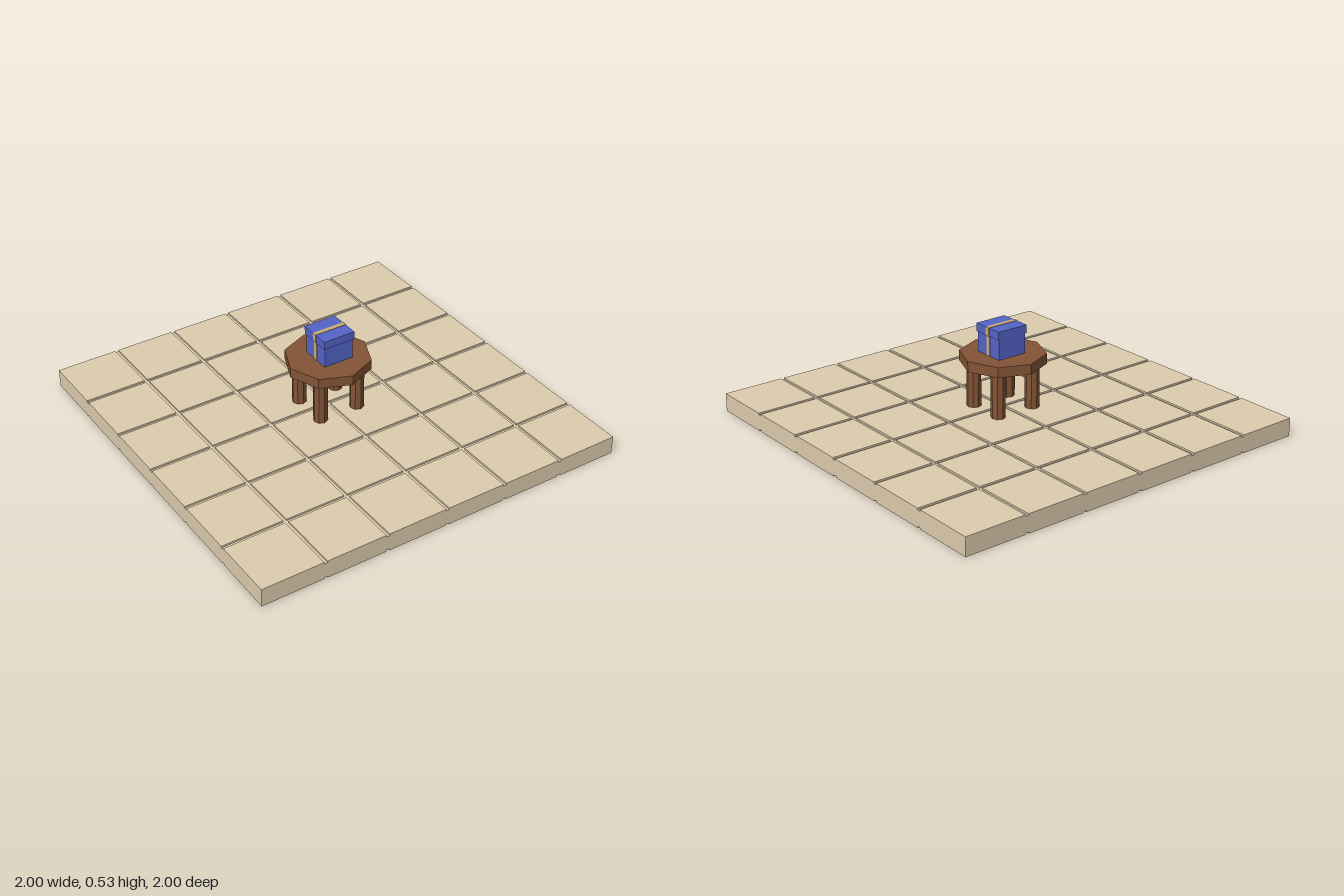
import * as THREE from 'three';

const material = (color) => new THREE.MeshStandardMaterial({ color, flatShading: true });

export function createModel() {
  const root = new THREE.Group();
  const stone = material(0xdccbad);
  const wood = material(0x835436);
  const blue = material(0x5464c8);
  const gold = material(0xc9ab78);

  const group = (name) => {
    const g = new THREE.Group();
    g.name = name;
    root.add(g);
    return g;
  };
  const add = (parent, name, geometry, mat, x, y, z) => {
    const mesh = new THREE.Mesh(geometry, mat);
    mesh.name = name;
    mesh.position.set(x, y, z);
    parent.add(mesh);
  };
  // Box standing on height y0 and reaching y1
  const block = (parent, name, mat, w, d, y0, y1, x = 0, z = 0) =>
    add(parent, name, new THREE.BoxGeometry(w, y1 - y0, d), mat, x, (y0 + y1) / 2, z);

  // Tiled floor: a slab with raised tiles above and below, leaving narrow grooves
  const floor = group('floor');
  const count = 6, pitch = 2 / count, gap = 0.018;
  block(floor, 'slab', stone, 2, 2, 0.008, 0.087);
  // Each tile spans its cell, with half a gap cut only where it meets a neighbour
  const span = (i) => {
    const a = -1 + i * pitch + (i > 0 ? gap / 2 : 0);
    const b = -1 + (i + 1) * pitch - (i < count - 1 ? gap / 2 : 0);
    return { size: b - a, mid: (a + b) / 2 };
  };
  for (let i = 0; i < count; i++) {
    for (let j = 0; j < count; j++) {
      const sx = span(i), sz = span(j);
      block(floor, 'topTile', stone, sx.size, sz.size, 0.087, 0.096, sx.mid, sz.mid);
      block(floor, 'bottomTile', stone, sx.size, sz.size, 0, 0.008, sx.mid, sz.mid);
    }
  }

  // Octagonal table on four octagonal legs
  const table = group('table');
  add(table, 'tableTop', new THREE.CylinderGeometry(0.218, 0.218, 0.053, 8), wood, 0, 0.3575, 0);
  const legGeometry = new THREE.CylinderGeometry(0.037, 0.037, 0.237, 8);
  for (const x of [-0.107, 0.107]) {
    for (const z of [-0.097, 0.097]) add(table, 'leg', legGeometry, wood, x, 0.2135, z);
  }

  // Gift box with an overhanging lid and a ribbon over the top and down both sides
  const gift = group('giftBox');
  const cx = 0.009;
  block(gift, 'boxBody', blue, 0.162, 0.164, 0.384, 0.49, cx);
  block(gift, 'boxLid', blue, 0.174, 0.174, 0.49, 0.532, cx);
  block(gift, 'lidRibbon', gold, 0.178, 0.024, 0.488, 0.534, cx);
  block(gift, 'bodyRibbon', gold, 0.167, 0.024, 0.384, 0.488, cx);

  return root;
}
